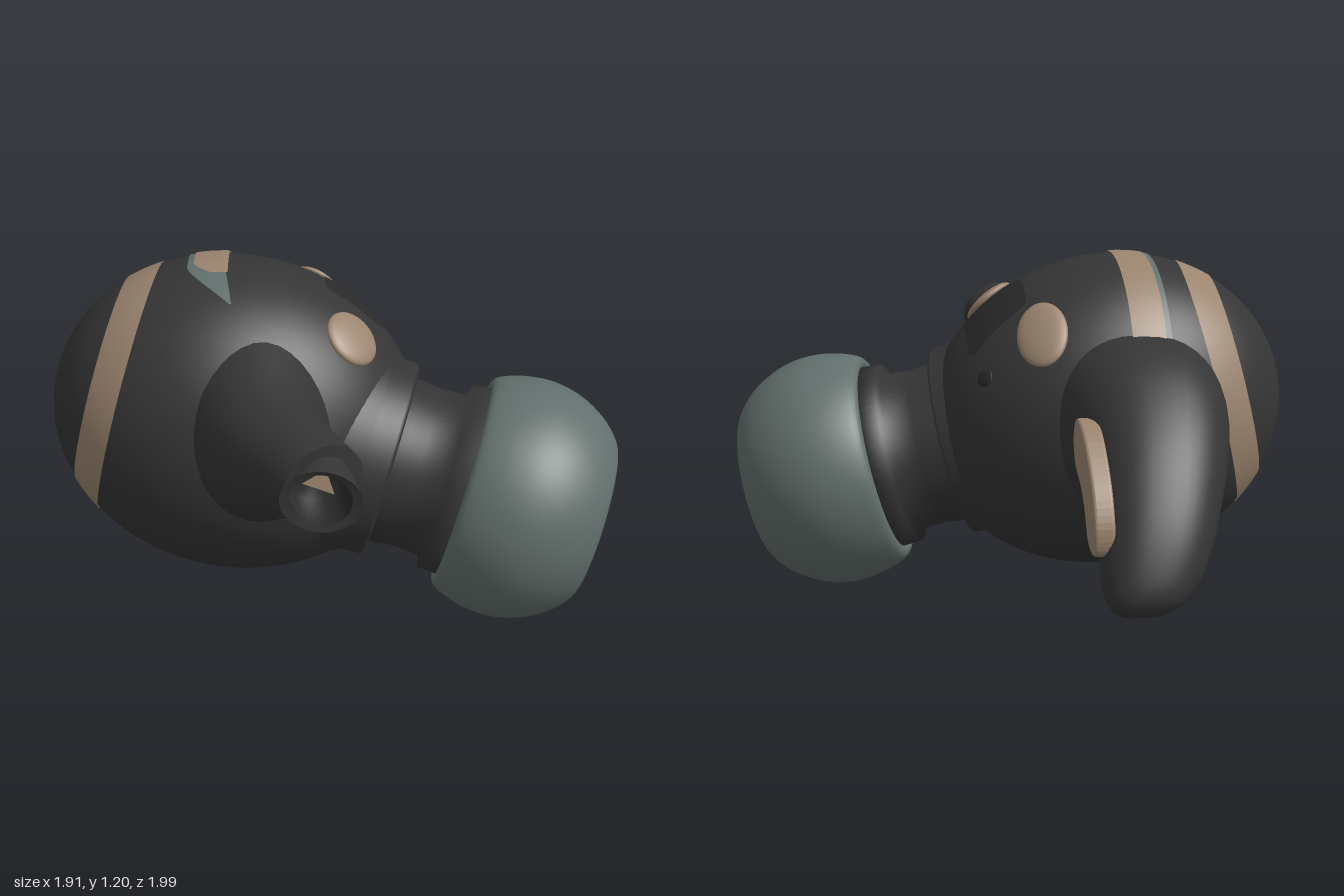
import * as THREE from 'three';

const V = (x, y, z) => new THREE.Vector3(x, y, z);
const mat = (name, color, side = THREE.FrontSide) => {
  const m = new THREE.MeshStandardMaterial({ color, side });
  m.name = name;
  return m;
};

// Skin a list of closed rings (each an array of Vector3)
function loft(rings) {
  const n = rings[0].length, pos = [], idx = [];
  rings.forEach(r => r.forEach(p => pos.push(p.x, p.y, p.z)));
  for (let i = 0; i < rings.length - 1; i++) {
    for (let j = 0; j < n; j++) {
      const k = (j + 1) % n, a = i * n + j, b = i * n + k;
      idx.push(a, b, b + n, a, b + n, a + n);
    }
  }
  const g = new THREE.BufferGeometry();
  g.setAttribute('position', new THREE.Float32BufferAttribute(pos, 3));
  g.setIndex(idx);
  g.computeVertexNormals();
  return g;
}

// Ring around c with half axes u and v; a power below 1 makes it fuller
function ellipse(c, u, v, power = 1, n = 40) {
  const full = t => Math.sign(t) * Math.abs(t) ** power;
  return Array.from({ length: n }, (_, j) => {
    const t = j / n * Math.PI * 2;
    return c.clone().addScaledVector(u, full(Math.cos(t))).addScaledVector(v, full(Math.sin(t)));
  });
}

// The shell is a slightly sheared ellipsoid
const R = V(0.62, 0.548, 0.51), C = V(-0.33, 0.654, 0.06), SHEAR = -0.044;
const shell = new THREE.Matrix4().set(
  R.x, SHEAR, 0, C.x,
  0, R.y, 0, C.y,
  0, 0, R.z, C.z,
  0, 0, 0, 1);

// Point and normal on the upper shell above (x, z)
function onShell(x, z, lift = 0) {
  const s = V(0, 0.7, (z - C.z) / R.z);
  for (let i = 0; i < 12; i++) {
    s.x = (x - C.x - SHEAR * s.y) / R.x;
    s.y = Math.sqrt(Math.max(0, 1 - s.x * s.x - s.z * s.z));
  }
  const normal = s.clone().applyMatrix3(new THREE.Matrix3().getNormalMatrix(shell)).normalize();
  const point = s.applyMatrix4(shell).addScaledVector(normal, lift);
  return { point, normal };
}

// Thin patch following the shell between two edge curves x = left(z), right(z)
function shellPatch(z0, z1, left, right, lift) {
  const g = new THREE.PlaneGeometry(1, 1, 8, 40), p = g.attributes.position;
  for (let i = 0; i < p.count; i++) {
    const z = THREE.MathUtils.lerp(z0, z1, 0.5 - p.getY(i));
    const x = THREE.MathUtils.lerp(left(z), right(z), p.getX(i) + 0.5);
    const q = onShell(x, z, lift).point;
    p.setXYZ(i, q.x, q.y, q.z);
  }
  g.computeVertexNormals();
  return g;
}

export function createModel() {
  const group = new THREE.Group();
  const dark = mat('charcoal', 0x353535);
  const black = mat('deepCharcoal', 0x2a2a2a);
  const gold = mat('bronze', 0x9a846f, THREE.DoubleSide);
  const grey = mat('greyGreen', 0x626f6c, THREE.DoubleSide);
  const add = (name, geo, m) => {
    const mesh = new THREE.Mesh(geo, m);
    mesh.name = name;
    group.add(mesh);
    return mesh;
  };

  // Shell: outer cap, bronze ring and main housing share one tilted pole
  const pole = V(-0.952, 0.285, -0.085).normalize();
  const turn = new THREE.Quaternion().setFromUnitVectors(V(0, 1, 0), pole);
  const band = (name, from, to, radius, m) => {
    const d = Math.PI / 180;
    const g = new THREE.SphereGeometry(radius, 72, 32, 0, Math.PI * 2, from * d, (to - from) * d);
    g.applyQuaternion(turn).applyMatrix4(shell);
    add(name, g, m);
  };
  band('outerCap', 0, 42, 1, dark);
  band('accentRing', 41.5, 54, 1.006, gold);
  band('housing', 53.5, 180, 1, dark);

  // Top stripe, rounded at its front, with a grey trim that tapers forward
  const past = (z, from, length) => Math.max(0, (z - from) / length);
  add('topStripe', shellPatch(-0.36, 0.13, z => -0.457 + 0.06 * past(z, 0.05, 0.08) ** 2,
    () => -0.345, 0.008), gold);
  add('stripeTrim', shellPatch(-0.36, 0.27, z => -0.478 + 0.14 * past(z, 0.08, 0.19) ** 1.5,
    z => -0.35 + 0.02 * past(z, 0.13, 0.14), 0.004), grey);

  // Square sensor window with rounded corners
  const corner = z => {
    const over = Math.max(0, Math.abs(z + 0.04) - 0.075);
    return 0.035 - Math.sqrt(Math.max(0, 0.035 ** 2 - over ** 2));
  };
  add('sensorWindow', shellPatch(-0.15, 0.07, z => -0.03 + corner(z), z => 0.165 - corner(z), 0.004), black);

  // Discs seated on the shell: local z is the normal, local x leans along world x
  const seat = (name, m, x, z, size) => {
    const { point, normal } = onShell(x, z);
    const tangent = V(1, 0, 0).addScaledVector(normal, -normal.x).normalize();
    const mesh = add(name, new THREE.SphereGeometry(1, 32, 16).scale(...size), m);
    mesh.quaternion.setFromRotationMatrix(
      new THREE.Matrix4().makeBasis(tangent, normal.clone().cross(tangent), normal));
    mesh.position.copy(point);
  };
  seat('rearButton', gold, -0.06, -0.27, [0.088, 0.122, 0.026]);
  seat('frontButton', gold, 0.055, 0.24, [0.098, 0.098, 0.028]);
  seat('vent', black, 0.125, -0.23, [0.03, 0.03, 0.006]);

  // Nozzle, collar and ear tip, turned about one slanted axis
  const axis = V(0.953, -0.246, 0.177).normalize();
  const turned = (name, profile, m, smooth = false) => {
    let pts = profile.map(p => new THREE.Vector2(...p));
    if (smooth) pts = new THREE.SplineCurve(pts).getPoints(48);
    const mesh = add(name, new THREE.LatheGeometry(pts, 64), m);
    mesh.position.set(0.62, 0.415, 0.255);
    mesh.quaternion.setFromUnitVectors(V(0, 1, 0), axis);
  };
  turned('collar', [[0.37, -0.62], [0.355, -0.54], [0.342, -0.53], [0.338, -0.455],
    [0.328, -0.445], [0.27, -0.44]], dark);
  turned('nozzle', [[0.29, -0.5], [0.288, -0.42], [0.28, -0.36], [0.285, -0.265],
    [0.325, -0.255], [0.33, -0.19], [0.25, -0.15], [0, -0.1]], dark);
  turned('earTip', [[0.27, -0.1], [0.315, -0.175], [0.345, -0.197], [0.376, -0.175], [0.405, -0.09],
    [0.414, 0.01], [0.393, 0.11], [0.345, 0.2], [0.285, 0.26], [0.24, 0.274],
    [0.212, 0.26], [0.204, 0.235]], grey, true);
  turned('tipBore', [[0.205, 0.24], [0.2, 0.1]], dark);
  turned('tipFloor', [[0.2, 0.1], [0.001, 0.1]], dark);

  // Ear fin: [upper z, upper y, lower z, lower y, outer x, inner x]
  const fin = [
    [-0.27, 1.0, -0.2, 0.27, -0.68, -0.04], [-0.4, 0.97, -0.38, 0.37, -0.66, -0.09],
    [-0.54, 0.91, -0.48, 0.42, -0.635, -0.13], [-0.68, 0.81, -0.58, 0.415, -0.6, -0.155],
    [-0.8, 0.69, -0.66, 0.37, -0.56, -0.16], [-0.91, 0.535, -0.74, 0.3, -0.51, -0.155],
    [-0.975, 0.4, -0.81, 0.24, -0.455, -0.15], [-1.0, 0.3, -0.88, 0.222, -0.385, -0.17],
    [-0.975, 0.245, -0.92, 0.222, -0.32, -0.21], [-0.95, 0.23, -0.949, 0.23, -0.27, -0.269]];
  const upper = new THREE.CatmullRomCurve3(fin.map(f => V((f[4] + f[5]) / 2, f[1], f[0])));
  const lower = new THREE.CatmullRomCurve3(fin.map(f => V((f[4] + f[5]) / 2, f[3], f[2])));
  const width = new THREE.SplineCurve(fin.map(f => new THREE.Vector2((f[5] - f[4]) / 2, 0)));
  const finRings = [];
  for (let i = 0; i <= 36; i++) {
    const a = upper.getPoint(i / 36), b = lower.getPoint(i / 36);
    finRings.push(ellipse(a.clone().add(b).multiplyScalar(0.5),
      V(-width.getPoint(i / 36).x, 0, 0), a.clone().sub(b).multiplyScalar(0.5), 0.88));
  }
  add('earFin', loft(finRings), dark);

  // Bean-shaped pad on the inner side of the fin
  const bean = new THREE.Shape();
  const beanPts = [[0.51, 0.68], [0.535, 0.74], [0.6, 0.75], [0.7, 0.71], [0.82, 0.61], [0.88, 0.51],
    [0.885, 0.43], [0.85, 0.41], [0.78, 0.43], [0.72, 0.51], [0.65, 0.565], [0.55, 0.61]]
    .map(p => new THREE.Vector2(...p));
  bean.setFromPoints(new THREE.SplineCurve([...beanPts, beanPts[0]]).getPoints(60).slice(0, -1));
  const pad = add('finPad', new THREE.ExtrudeGeometry(bean, {
    depth: 0.045, bevelSize: 0.01, bevelThickness: 0.01, bevelSegments: 3 }), gold);
  pad.rotation.y = Math.PI / 2;
  pad.position.x = -0.18;

  // Cable horn: [x, y, z, half width, half height, yaw]
  const horn = [
    [-0.26, 0.74, 0.36, 0.26, 0.335, 0], [-0.245, 0.75, 0.47, 0.235, 0.295, 0.1],
    [-0.215, 0.772, 0.58, 0.195, 0.235, 0.22], [-0.16, 0.81, 0.7, 0.17, 0.185, 0.35],
    [-0.1, 0.843, 0.81, 0.148, 0.152, 0.45], [-0.047, 0.86, 0.9, 0.135, 0.128, 0.5]];
  const hornRing = ([x, y, z, w, h, yaw]) =>
    ellipse(V(x, y, z), V(Math.cos(yaw) * w, 0, -Math.sin(yaw) * w), V(0, h, 0));
  const neck = [-0.05, 0.858, 0.9, 0.095, 0.095, 0.45];
  const flare = [-0.055, 0.852, 0.985, 0.122, 0.102, -0.08];
  const lip = [-0.055, 0.855, 0.98, 0.092, 0.085, -0.08];
  const bore = [-0.07, 0.855, 0.84, 0.08, 0.08, 0.3];
  add('cableHorn', loft(horn.map(hornRing)), dark);
  add('hornMouth', loft([horn[5], neck].map(hornRing)), dark);
  add('cableFlare', loft([neck, flare].map(hornRing)), dark);
  add('flareLip', loft([flare, lip].map(hornRing)), dark);
  add('cableBore', loft([lip, bore, [...bore.slice(0, 3), 0.001, 0.001, 0.3]].map(hornRing)), black);

  // Bronze contact sliver inside the bore
  const sliver = new THREE.BufferGeometry().setFromPoints(
    [V(-0.11, 0.895, 0.95), V(-0.015, 0.845, 0.93), V(-0.04, 0.93, 0.93)]);
  sliver.computeVertexNormals();
  add('contactSliver', sliver, gold);

  return group;
}
